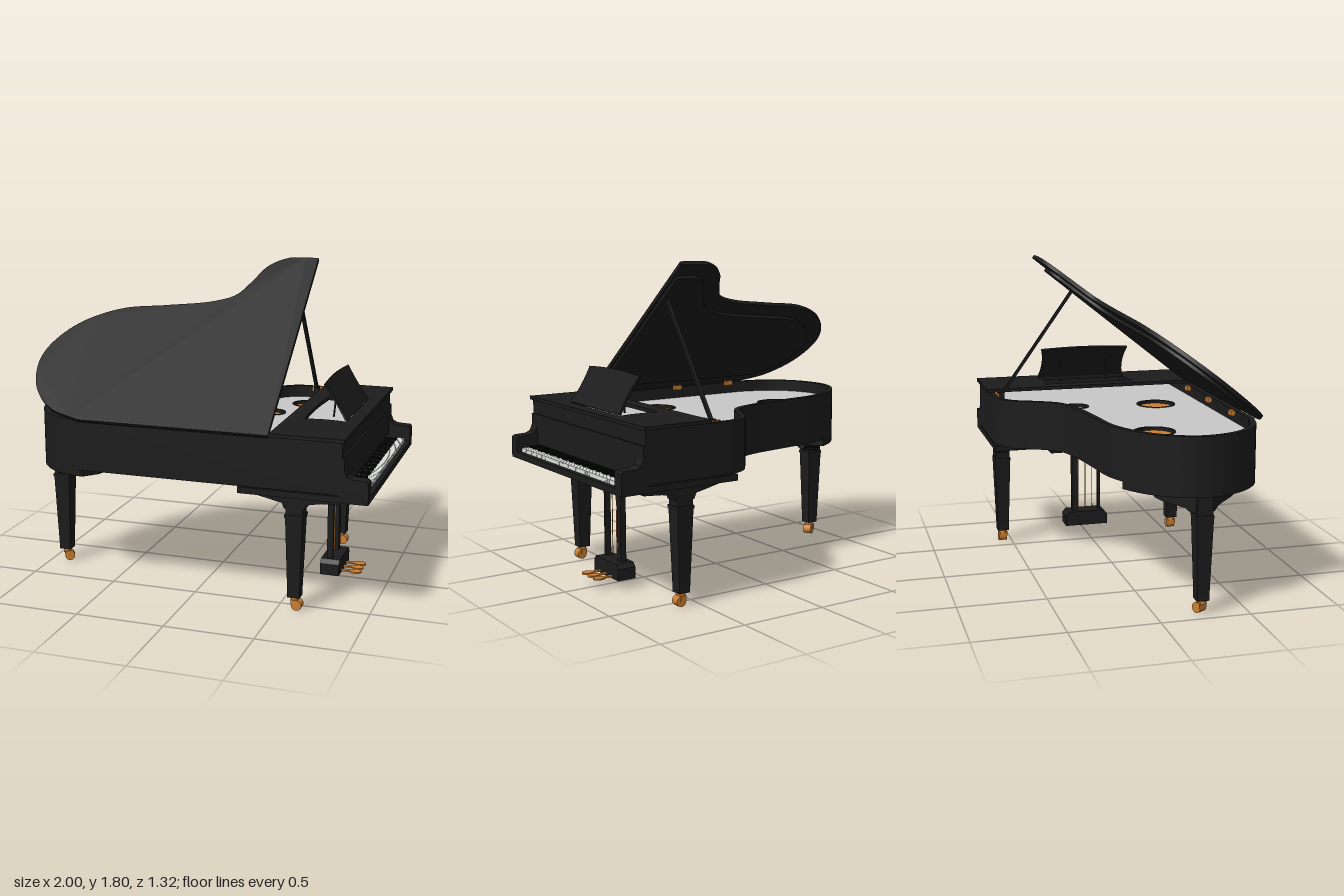
import * as THREE from 'three';
import { toCreasedNormals } from 'three/addons/utils/BufferGeometryUtils.js';

const mat = (name, color) => Object.assign(new THREE.MeshStandardMaterial({ color }), { name });
const V2 = (x, y) => new THREE.Vector2(x, y);
const V3 = (x, y, z) => new THREE.Vector3(x, y, z);

// Curved side of the case in plan, as x and -z
const CURVE = [[.45, .64], [.37, .64], [.29, .632], [.19, .565], [.12, .43], [.05, .32], [-.08, .26], [-.35, .212],
  [-.62, .167], [-.84, .04], [-.96, -.13], [-.985, -.27], [-.93, -.45], [-.8, -.58], [-.62, -.64]];

// Case outline, moved inwards by d and cut off at x = right
function outline(right, d = 0) {
  const curve = new THREE.CatmullRomCurve3(CURVE.map(([x, w]) => V3(x, w, 0)), false, 'centripetal');
  const side = [];
  for (let i = 0; i <= 80; i++) {
    const p = curve.getPointAt(i / 80), t = curve.getTangentAt(i / 80);
    if (i === 0 || i === 80) t.set(i ? 1 : -1, 0, 0);
    side.push(V2(p.x - t.y * d, p.y + t.x * d));
  }
  return [V2(right, -.64 + d), V2(right, .64 - d), ...side];
}

function inside(p, poly) {
  let hit = false;
  poly.forEach((a, i) => {
    const b = poly[(i + 1) % poly.length];
    if ((a.y > p.y) !== (b.y > p.y) && p.x < a.x + (p.y - a.y) / (b.y - a.y) * (b.x - a.x)) hit = !hit;
  });
  return hit;
}

// Music desk outline, running back from its hinge at x0
function deskPoints(x0) {
  const pts = [];
  for (let i = 0; i <= 8; i++) pts.push(V2(x0 - .232 * i / 8, .262 + .016 * (i / 4 - 1) ** 2));
  for (let i = 1; i < 8; i++) pts.push(V2(x0 - .232 - .012 * Math.sin(Math.PI * i / 8), .278 * (1 - i / 4)));
  for (let i = 8; i >= 0; i--) pts.push(V2(x0 - .232 * i / 8, -.262 - .016 * (i / 4 - 1) ** 2));
  return pts;
}

export function createModel() {
  const black = mat('black lacquer', 0x1c1c1c), ebony = mat('black keys', 0x0e0e0e);
  const plateGray = mat('plate gray', 0xc8c8c8), ivory = mat('white keys', 0xdcdfdc);
  const brass = mat('brass', 0xcd7f32), wood = mat('rib wood', 0x8a5520);
  const board = mat('soundboard', 0xffffff), steel = mat('strut gray', 0xa8a8a8);
  const piano = new THREE.Group();
  piano.name = 'grandPiano';

  const add = (name, geo, material, parent = piano) => {
    const m = new THREE.Mesh(geo, material);
    m.name = name;
    parent.add(m);
    return m;
  };
  const box = (name, material, x0, x1, y0, y1, z0, z1, parent) => {
    const m = add(name, new THREE.BoxGeometry(x1 - x0, y1 - y0, z1 - z0), material, parent);
    m.position.set((x0 + x1) / 2, (y0 + y1) / 2, (z0 + z1) / 2);
    return m;
  };
  // Horizontal slab from a plan outline
  const slab = (name, material, pts, y, h, holes = [], parent = piano) => {
    const s = new THREE.Shape(pts);
    s.holes = holes.map(p => new THREE.Path(p));
    const g = new THREE.ExtrudeGeometry(s, { depth: h, bevelEnabled: false });
    const m = add(name, toCreasedNormals(g.rotateX(-Math.PI / 2), .5), material, parent);
    m.position.y = y;
    return m;
  };
  // Upright plate from a profile, centred on its own depth
  const profile = (name, material, pts, depth, parent) => {
    const g = new THREE.ExtrudeGeometry(new THREE.Shape(pts.map(p => V2(...p))), { depth, bevelEnabled: false });
    return add(name, g.translate(0, 0, -depth / 2), material, parent);
  };
  const bar = (name, material, a, b, w, h) => {
    const m = add(name, new THREE.BoxGeometry(w, h, a.distanceTo(b)), material);
    m.position.copy(a).lerp(b, .5);
    m.lookAt(b);
    return m;
  };
  const circle = (x, z, r) => Array.from({ length: 32 }, (_, i) =>
    V2(x + r * Math.cos(i * Math.PI / 16), -z + r * Math.sin(i * Math.PI / 16)));

  // Case
  slab('caseRim', black, outline(.858), .695, .285, [outline(.835, .03)]);
  box('keybed', black, .29, 1, .655, .69, -.64, .64);
  box('keybedCleat', black, .16, .29, .655, .69, -.33, .33);
  const tail = outline(0).filter(p => p.x < -.7);
  [[-.62, -.63], [-.55, -.55], [-.53, -.45], [-.555, -.25], [-.6, -.08], [-.65, .06], [-.71, .13]]
    .forEach(p => tail.push(V2(...p)));
  slab('tailPlate', black, tail, .655, .04);

  // Iron plate with round openings showing the wood below
  const openings = [[.39, -.425, .077], [.254, -.155, .072], [.203, .331, .11], [-.52, .102, .11]];
  slab('ironPlate', plateGray, outline(.84, .025), .9, .012, openings.map(([x, z, r]) => circle(x, z, r)));
  for (const [x, z, r] of openings) {
    slab('openingRing', black, circle(x, z, r + .008), .885, .03, [circle(x, z, r - .006)]);
    slab('openingFloor', brass, circle(x, z, r), .888, .008);
  }

  // Soundboard, ribs and struts underneath
  slab('soundboard', board, outline(.84, .025), .725, .012);
  box('bottomRail', board, -.47, .29, .686, .715, .585, .61);
  const inner = outline(.3, .035), angle = .347;
  for (let x = -.8; x < .5; x += .115) {
    const at = t => V2(x + t * Math.sin(angle), -.25 - t * Math.cos(angle));
    if (!inside(at(0), inner)) continue;
    let lo = 0, hi = 0;
    while (inside(at(lo - .01), inner)) lo -= .01;
    while (inside(at(hi + .01), inner)) hi += .01;
    const mid = at((lo + hi) / 2);
    const rib = add('soundboardRib', new THREE.BoxGeometry(.048, .012, hi - lo), wood);
    rib.position.set(mid.x, .721, -mid.y);
    rib.rotation.y = angle;
  }
  for (const [z0, x1, z1] of [[-.25, -.1, -.15], [-.02, -.6, .02], [.12, -.62, .3], [.3, -.55, .52]])
    bar('strut', steel, V3(.3, .71, z0), V3(x1, .71, z1), .035, .016);

  // Keyboard end
  for (const s of [1, -1]) {
    profile('cheek', black, [[.84, .685], [1, .685], [1, .772], [.988, .783], [.91, .787], [.885, .8], [.872, .83], [.862, .85], [.84, .85]], .07)
      .position.z = s * .605;
  }
  box('fallboard', black, .85, .87, .725, .9, -.638, .638);
  const step = 1.12 / 52;
  for (let i = 0; i < 52; i++) {
    const z = .565 - i * step;
    box('whiteKey', ivory, .855, .972, .688, .713, z - step + .0016, z);
    if (i < 51 && [0, 2, 3, 5, 6].includes(i % 7))
      box('blackKey', ebony, .855, .932, .7, .722, z - step - .005, z - step + .0065);
  }

  // Fixed top panel with the music desk opening
  slab('topPanel', black, [V2(.465, -.655), V2(.872, -.655), V2(.872, .655), V2(.465, .655)], .98, .02, [deskPoints(.795)]);
  const desk = slab('musicDesk', black, deskPoints(0), 1, .012);
  desk.position.x = .79;
  desk.rotation.z = -1;
  for (const z of [-.15, .15]) bar('deskBrace', black, V3(.695, .99, z), V3(.706, 1.12, z), .012, .008);

  // Raised lid, hinged along the straight side
  const lid = new THREE.Group();
  lid.name = 'lid';
  lid.position.set(0, .975, .652);
  lid.rotation.x = .672;
  piano.add(lid);
  slab('lidBoard', black, outline(.465, -.012), 0, .022, [], lid).position.z = -.652;
  slab('lidLining', black, outline(.45, .09), -.018, .018, [], lid).position.z = -.652;
  for (const x of [.285, -.095, -.48]) box('lidHinge', brass, x - .025, x + .025, .97, .998, .55, .575);
  bar('lidProp', black, V3(.415, .97, -.58), V3(.415, 1.59, -.138), .02, .016);
  box('propBracket', brass, .38, .45, .955, .985, -.612, -.596);
  box('propFoot', black, .4, .43, .9, .99, -.6, -.56);

  // Legs with brackets and casters
  const leg = (x, z, turn) => {
    const g = new THREE.Group();
    g.name = 'leg';
    g.position.set(x, 0, z);
    piano.add(g);
    const shaft = new THREE.CylinderGeometry(.096 / Math.SQRT2, .066 / Math.SQRT2, .47, 4, 1).rotateY(Math.PI / 4);
    add('legShaft', toCreasedNormals(shaft, .4), black, g).position.y = .31;
    box('legCollar', black, -.052, .052, .53, .548, -.048, .048, g);
    box('legBlock', black, -.046, .046, .545, .66, -.043, .043, g);
    box('legFoot', black, -.034, .034, .075, .125, -.034, .034, g);
    const caster = new THREE.Group();
    caster.name = 'caster';
    caster.rotation.y = turn;
    g.add(caster);
    add('casterStem', new THREE.CylinderGeometry(.018, .024, .03, 16), brass, caster).position.y = .064;
    const wheel = add('casterWheel', new THREE.CylinderGeometry(.029, .029, .05, 20).rotateX(Math.PI / 2), brass, caster);
    wheel.position.set(.014, .029, 0);
    box('casterFork', brass, -.015, .02, .03, .06, -.028, .028, caster);
    return g;
  };
  for (const z of [.555, -.555]) {
    const g = leg(.595, z, 0);
    profile('legBracket', black, [[-.3, .66], [-.22, .645], [-.12, .622], [-.07, .612], [-.055, .58], [.055, .58], [.065, .61],
      [.14, .625], [.25, .633], [.275, .66]], .085, g);
  }
  // Tail leg with two spreading brackets
  const tailLeg = leg(-.91, .25, .5);
  for (const s of [1, -1]) {
    const arm = profile('tailLegBracket', black, [[-.01, .66], [-.01, .555], [.055, .56], [.08, .58], [.13, .592], [.2, .603],
      [.25, .622], [.27, .66]], .085, tailLeg);
    arm.rotation.y = s * .95;
  }

  // Pedal lyre
  box('lyreTop', black, .61, .75, .638, .658, -.33, .15);
  box('lyrePost', black, .66, .695, .13, .64, -.088, -.05);
  box('lyreThinPost', black, .66, .695, .13, .64, .082, .097);
  const pedalBox = profile('pedalBox', black, [[-.135, .05], [.135, .05], [.135, .115], [.115, .14], [-.115, .14], [-.135, .115]], .11);
  pedalBox.rotation.y = Math.PI / 2;
  pedalBox.position.x = .685;
  for (const z of [-.065, 0, .065]) {
    box('pedalArm', brass, .73, .81, .06, .068, z - .012, z + .012);
    const pad = add('pedalPad', new THREE.CylinderGeometry(.028, .028, .009, 20).scale(1.25, 1, 1), brass);
    pad.position.set(.822, .064, z);
    const rod = add('pedalRod', new THREE.CylinderGeometry(.0025, .0025, .51, 8), brass);
    rod.position.set(.67, .39, z * .7);
  }
  return piano;
}
